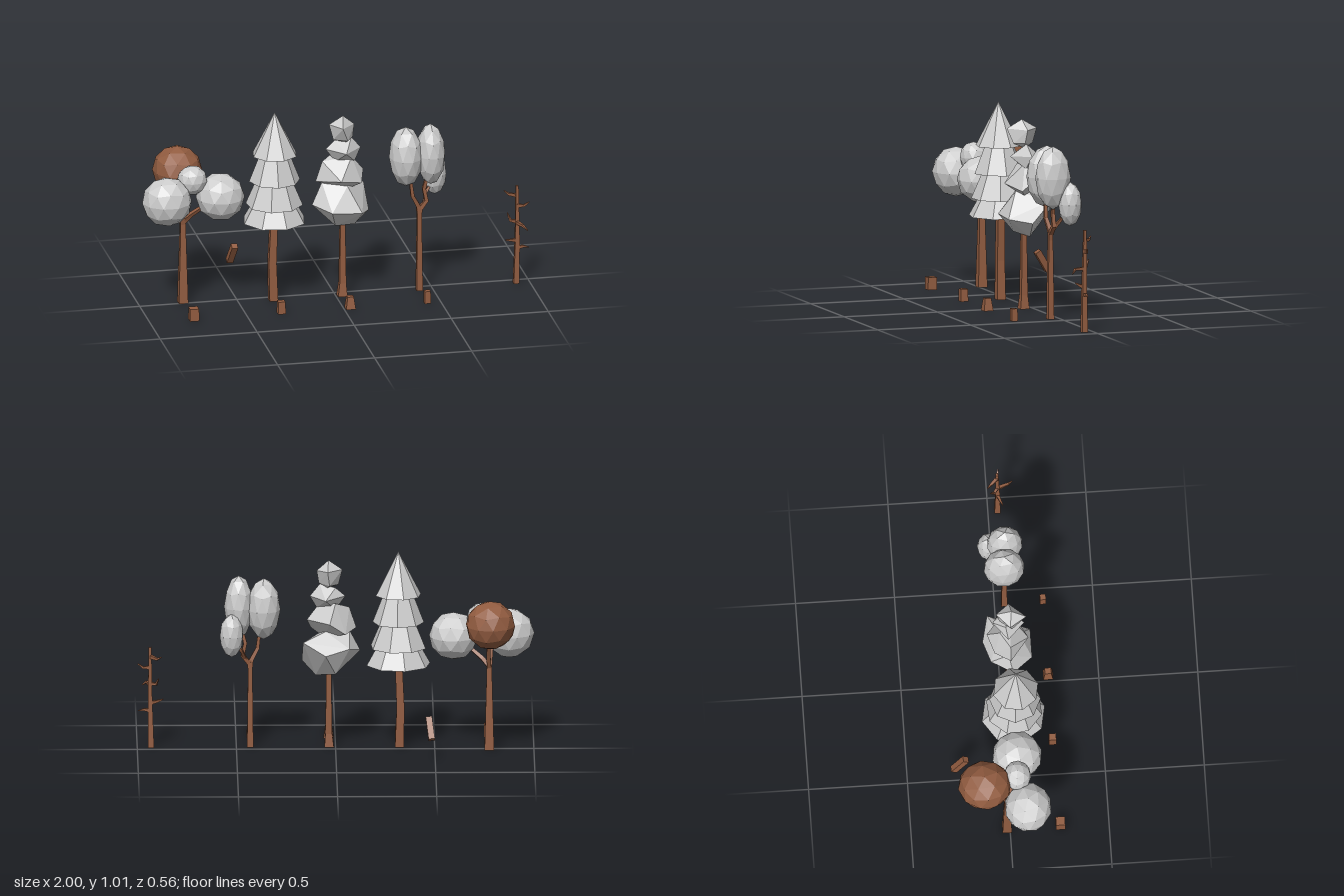
import * as THREE from 'three';
import { ConvexGeometry } from 'three/addons/geometries/ConvexGeometry.js';

const bark = new THREE.MeshStandardMaterial({ color: 0x925c40 });
bark.name = 'bark';
const leaf = new THREE.MeshStandardMaterial({ color: 0xcccccc });
leaf.name = 'paleLeaf';

const V = (p) => new THREE.Vector3(...p);

// Faceted normals: every triangle gets its own
function faceted(geo) {
  const g = geo.index ? geo.toNonIndexed() : geo;
  g.computeVertexNormals();
  return g;
}

function add(parent, name, geo, material) {
  const mesh = new THREE.Mesh(faceted(geo), material);
  mesh.name = name;
  parent.add(mesh);
  return mesh;
}

// Tapered square limb through points; halfWidths gives the half width at each point
function limb(points, halfWidths, sides = 4) {
  const pts = points.map(V);
  const dir = pts[pts.length - 1].clone().sub(pts[0]).normalize();
  const ref = Math.abs(dir.y) > 0.6 ? V([1, 0, 0]) : V([0, 1, 0]);
  const pos = [], index = [];
  pts.forEach((p, i) => {
    const t = pts[Math.min(i + 1, pts.length - 1)].clone().sub(pts[Math.max(i - 1, 0)]).normalize();
    if (i === 0 && Math.abs(dir.y) > 0.9 && p.y === 0) t.set(0, 1, 0);
    const u = ref.clone().addScaledVector(t, -ref.dot(t)).normalize();
    const v = t.clone().cross(u);
    const r = halfWidths[i] / Math.cos(Math.PI / sides);
    for (let j = 0; j < sides; j++) {
      const a = ((j + 0.5) / sides) * Math.PI * 2;
      const q = p.clone().addScaledVector(u, r * Math.cos(a)).addScaledVector(v, r * Math.sin(a));
      pos.push(q.x, q.y, q.z);
    }
  });
  const last = (pts.length - 1) * sides;
  for (let i = 0; i < last; i += sides) {
    for (let j = 0; j < sides; j++) {
      const k = (j + 1) % sides;
      index.push(i + j, i + k, i + sides + k, i + j, i + sides + k, i + sides + j);
    }
  }
  for (let j = 1; j < sides - 1; j++) index.push(0, j + 1, j, last, last + j, last + j + 1);
  const g = new THREE.BufferGeometry();
  g.setAttribute('position', new THREE.Float32BufferAttribute(pos, 3));
  g.setIndex(index);
  return g;
}

// Faceted ball or tall leaf clump with a vertex at the top
function clump(center, radii, turn = 0) {
  const g = new THREE.IcosahedronGeometry(1, 1);
  g.rotateZ(-Math.atan(2 / (1 + Math.sqrt(5))));
  g.rotateY(turn);
  g.scale(...radii);
  g.translate(...center);
  return g;
}

function group(parent, name) {
  const g = new THREE.Group();
  g.name = name;
  parent.add(g);
  return g;
}

export function createModel() {
  const model = new THREE.Group();
  model.name = 'treeSet';

  // Round tree with four ball clumps, one of them brown
  const round = group(model, 'roundTree');
  add(round, 'trunk', limb([[-0.775, 0, -0.015], [-0.775, 0.42, -0.015], [-0.785, 0.52, 0.0], [-0.84, 0.57, 0.05]],
    [0.024, 0.013, 0.011, 0.008]), bark);
  add(round, 'sideBranch', limb([[-0.775, 0.43, -0.015], [-0.74, 0.47, 0], [-0.64, 0.55, 0.04]], [0.011, 0.01, 0.007]), bark);
  add(round, 'backBranch', limb([[-0.775, 0.42, -0.015], [-0.77, 0.5, -0.05], [-0.775, 0.62, -0.11]], [0.011, 0.01, 0.007]), bark);
  add(round, 'rightBall', clump([-0.877, 0.58, 0.085], [0.127, 0.127, 0.12], 0.3), leaf);
  add(round, 'leftBall', clump([-0.595, 0.575, 0.048], [0.124, 0.122, 0.127], 0.8), leaf);
  add(round, 'smallBall', clump([-0.738, 0.67, 0.04], [0.077, 0.077, 0.07], 0.5), leaf);
  add(round, 'brownBall', clump([-0.78, 0.672, -0.128], [0.126, 0.124, 0.136], 0.1), bark);

  // Pine with four stacked, slightly turned skirts
  const pine = group(model, 'pineTree');
  add(pine, 'trunk', limb([[-0.322, 0, 0.047], [-0.328, 0.2, 0.047], [-0.318, 0.45, 0.047]], [0.022, 0.02, 0.018]), bark);
  const skirts = [ // bottom y, top y, bottom radius, top radius
    [0.428, 0.56, 0.164, 0.09], [0.517, 0.67, 0.145, 0.08],
    [0.645, 0.80, 0.13, 0.07], [0.785, 1.01, 0.117, 0],
  ];
  skirts.forEach(([y0, y1, r0, r1], i) => {
    const g = new THREE.CylinderGeometry(r1, r0, y1 - y0, 8);
    g.rotateY(0.2 + i * 0.27);
    g.translate(-0.317, (y0 + y1) / 2, 0.047 + i * 0.004);
    add(pine, 'skirt' + (i + 1), g, leaf);
  });

  // Rugged tree with four angular tiers
  const rugged = group(model, 'ruggedTree');
  add(rugged, 'trunk', limb([[0.032, 0, 0.05], [0.034, 0.07, 0.05], [0.034, 0.45, 0.05]], [0.024, 0.017, 0.012]), bark);
  const tiers = [
    [[-0.125, 0.5, 0.06], [-0.07, 0.61, 0.04], [-0.07, 0.53, -0.05], [0.05, 0.61, 0], [0.05, 0.5, -0.085],
      [0.165, 0.565, -0.055], [0.17, 0.45, 0.05], [0.1, 0.375, 0.04], [0.115, 0.47, 0.16], [-0.04, 0.48, 0.16],
      [0.05, 0.6, 0.1], [-0.01, 0.39, 0.09], [0, 0.39, -0.01]],
    [[-0.105, 0.62, 0.05], [-0.07, 0.725, 0.05], [0.0, 0.755, 0], [0.08, 0.745, 0.06], [0.145, 0.665, 0.03],
      [0.125, 0.61, 0.09], [0.06, 0.57, 0.05], [0.01, 0.64, 0.145], [0.03, 0.66, -0.065], [-0.05, 0.6, -0.03]],
    [[-0.05, 0.785, 0.04], [0, 0.83, 0.03], [0.08, 0.845, 0.05], [0.13, 0.785, 0.04], [0.095, 0.72, 0.06],
      [0.0, 0.715, 0.04], [0.04, 0.78, 0.125], [0.05, 0.775, -0.035]],
    [[-0.035, 0.92, 0.05], [-0.015, 0.84, 0.06], [0.05, 0.82, 0.05], [0.085, 0.85, 0.06], [0.095, 0.915, 0.05],
      [0.035, 0.966, 0.06], [0.02, 0.92, 0.135], [0.04, 0.92, -0.018], [0.05, 0.845, 0.11], [0.03, 0.845, 0.0]],
  ];
  tiers.forEach((points, i) => add(rugged, 'tier' + (i + 1), new ConvexGeometry(points.map(V)), leaf));

  // Forked tree with three tall clumps
  const forked = group(model, 'forkedTree');
  add(forked, 'trunk', limb([[0.43, 0, 0.05], [0.43, 0.42, 0.05]], [0.016, 0.011]), bark);
  add(forked, 'rightFork', limb([[0.43, 0.4, 0.05], [0.425, 0.45, 0.05], [0.393, 0.51, 0.06], [0.38, 0.62, 0.06]],
    [0.011, 0.011, 0.009, 0.007]), bark);
  add(forked, 'leftFork', limb([[0.43, 0.4, 0.05], [0.435, 0.435, 0.05], [0.468, 0.475, 0.045], [0.455, 0.54, 0.045], [0.475, 0.62, 0.05]],
    [0.011, 0.011, 0.01, 0.009, 0.007]), bark);
  add(forked, 'backFork', limb([[0.455, 0.46, 0.045], [0.475, 0.51, 0.01], [0.515, 0.57, -0.01]], [0.008, 0.007, 0.005]), bark);
  add(forked, 'rightClump', clump([0.362, 0.718, 0.045], [0.085, 0.158, 0.105], 0.2), leaf);
  add(forked, 'leftClump', clump([0.488, 0.727, 0.056], [0.074, 0.161, 0.092], 0.9), leaf);
  add(forked, 'backClump', clump([0.525, 0.595, -0.022], [0.06, 0.112, 0.06], 0.5), leaf);

  // Bare tree with short drooping and rising twigs
  const bare = group(model, 'bareTree');
  add(bare, 'trunk', limb([[0.93, 0, 0.048], [0.935, 0.25, 0.05], [0.935, 0.52, 0.046]], [0.015, 0.011, 0.007]), bark);
  const twigs = [ // start height, elbow, tip
    [0.19, [0.965, 0.195, 0.05], [0.995, 0.188, 0.053]],
    [0.23, [0.9, 0.235, 0.06], [0.868, 0.243, 0.073]],
    [0.325, [0.952, 0.325, 0.105], [0.973, 0.305, 0.126]],
    [0.33, [0.905, 0.33, 0.03], [0.892, 0.365, 0.01]],
    [0.415, [0.97, 0.412, 0.05], [0.997, 0.432, 0.055]],
    [0.47, [0.9, 0.465, 0.012], [0.878, 0.48, -0.005]],
  ];
  twigs.forEach(([y, elbow, tip], i) =>
    add(bare, 'twig' + (i + 1), limb([[0.933, y, 0.048], elbow, tip], [0.009, 0.006, 0.002]), bark));

  // Stumps standing in front of the leafy trees
  const stumps = [ // x, z, bottom half width, top half width
    [-0.775, 0.255, 0.024, 0.023], [-0.322, 0.245, 0.02, 0.018],
    [0.033, 0.245, 0.025, 0.016], [0.43, 0.245, 0.016, 0.015],
  ];
  stumps.forEach(([x, z, b, t], i) =>
    add(model, 'stump' + (i + 1), limb([[x, 0, z], [x, 0.064, z]], [b, t]), bark));

  // Short tilted log behind
  add(model, 'log', limb([[-0.482, 0.113, -0.266], [-0.468, 0.213, -0.203]], [0.016, 0.016]), bark);

  return model;
}
